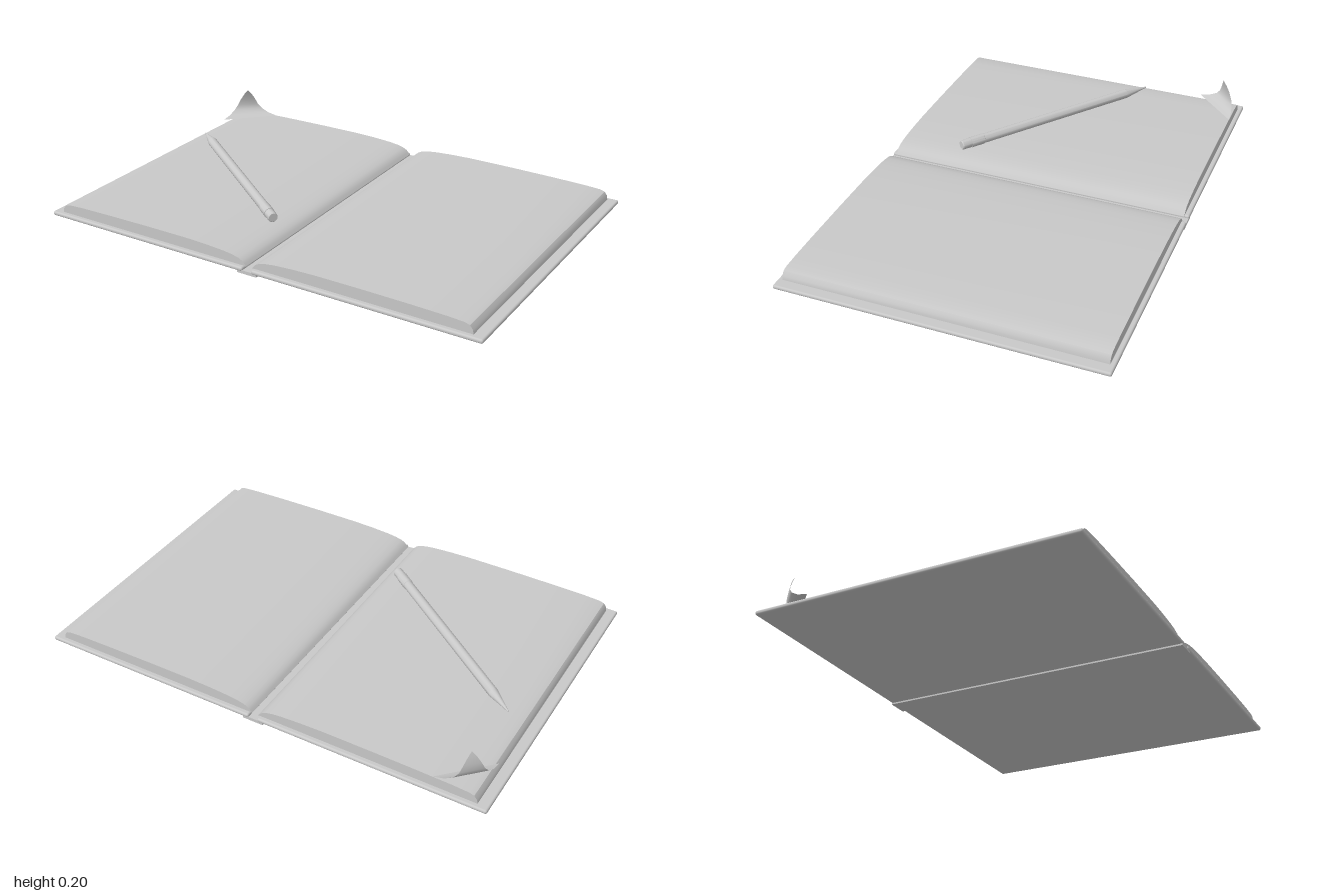
import * as THREE from 'three';
import { toCreasedNormals } from 'three/addons/utils/BufferGeometryUtils.js';
import { RoundedBoxGeometry } from 'three/addons/geometries/RoundedBoxGeometry.js';

export function createModel() {
  const model = new THREE.Group();
  const grey = new THREE.MeshStandardMaterial({ color: 0xc8c8c8, side: THREE.DoubleSide });
  grey.name = 'plain grey';

  const add = (name, geometry, parent = model) => {
    const mesh = new THREE.Mesh(geometry, grey);
    mesh.name = name;
    parent.add(mesh);
    return mesh;
  };

  // Cover: two rounded boards joined by a slightly lower spine strip
  for (const side of [-1, 1]) {
    const board = add(side < 0 ? 'rightCover' : 'leftCover',
      new RoundedBoxGeometry(0.98, 0.018, 1.36, 3, 0.008));
    board.position.set(side * 0.51, 0.016, 0);
  }
  add('spine', new THREE.BoxGeometry(0.09, 0.014, 1.356)).position.y = 0.007;

  // Page blocks: domed profile dropping into the gutter, swept along z
  const profile = [
    [0.022, 0.034], [0.032, 0.044], [0.05, 0.053], [0.08, 0.06], [0.12, 0.065],
    [0.2, 0.07], [0.3, 0.073], [0.5, 0.073], [0.7, 0.071], [0.85, 0.068],
    [0.92, 0.064], [0.94, 0.058], [0.952, 0.042], [0.955, 0.024],
  ];
  for (const side of [-1, 1]) {
    const shape = new THREE.Shape();
    shape.moveTo(side * 0.014, 0.024);
    profile.forEach(([x, y]) => shape.lineTo(side * x, y));
    const geometry = new THREE.ExtrudeGeometry(shape, { depth: 1.32, bevelEnabled: false });
    geometry.translate(0, 0, -0.66);
    add(side < 0 ? 'rightPages' : 'leftPages', toCreasedNormals(geometry, 0.5));
  }

  // Curled page corner: rows of [distance in from corner, height, half width]
  const rows = [
    [0.13, 0.07, 0.13], [0.1, 0.08, 0.095], [0.08, 0.098, 0.068], [0.074, 0.12, 0.05],
    [0.077, 0.15, 0.035], [0.084, 0.178, 0.018], [0.092, 0.2, 0.0005],
  ];
  const points = [];
  const index = [];
  rows.forEach(([c, y, w], i) => {
    for (const s of [-1, 1]) {
      points.push(-0.955 + (c + s * w) * Math.SQRT1_2, y, -0.66 + (c - s * w) * Math.SQRT1_2);
    }
    if (i > 0) {
      const a = 2 * (i - 1);
      index.push(a, a + 1, a + 2, a + 1, a + 3, a + 2);
    }
  });
  const curl = new THREE.BufferGeometry();
  curl.setAttribute('position', new THREE.Float32BufferAttribute(points, 3));
  // Wind so the page's upper face points inward and up
  for (let i = 0; i < index.length; i += 3) [index[i + 1], index[i + 2]] = [index[i + 2], index[i + 1]];
  curl.setIndex(index);
  curl.computeVertexNormals();
  const n = curl.attributes.normal;
  if (n.getY(0) < 0) {
    for (let i = 0; i < index.length; i += 3) [index[i + 1], index[i + 2]] = [index[i + 2], index[i + 1]];
    curl.setIndex(index);
    curl.computeVertexNormals();
  }
  add('curledPageCorner', curl);

  // Pencil: turned sections stacked from tip to eraser along one axis
  const tip = new THREE.Vector3(-0.88, 0.098, -0.23);
  const end = new THREE.Vector3(-0.082, 0.098, 0.372);
  const length = tip.distanceTo(end);
  const pencil = new THREE.Group();
  pencil.name = 'pencil';
  pencil.position.copy(tip);
  pencil.quaternion.setFromUnitVectors(new THREE.Vector3(0, 1, 0), end.clone().sub(tip).normalize());
  model.add(pencil);
  const turn = (name, pts) => add(name, toCreasedNormals(
    new THREE.LatheGeometry(pts.map(([r, y]) => new THREE.Vector2(r, y)), 16), 0.5), pencil);
  turn('pencilPoint', [[0, 0], [0.003, 0.002], [0.008, 0.04]]);
  turn('sharpenedWood', [[0.008, 0.04], [0.021, 0.12]]);
  turn('pencilBody', [[0.021, 0.12], [0.021, length - 0.11]]);
  turn('ferrule', [[0.021, length - 0.11], [0.023, length - 0.108], [0.023, length - 0.045], [0.02, length - 0.045]]);
  turn('eraser', [[0.021, length - 0.045], [0.021, length - 0.004], [0.018, length], [0, length]]);

  return model;
}
